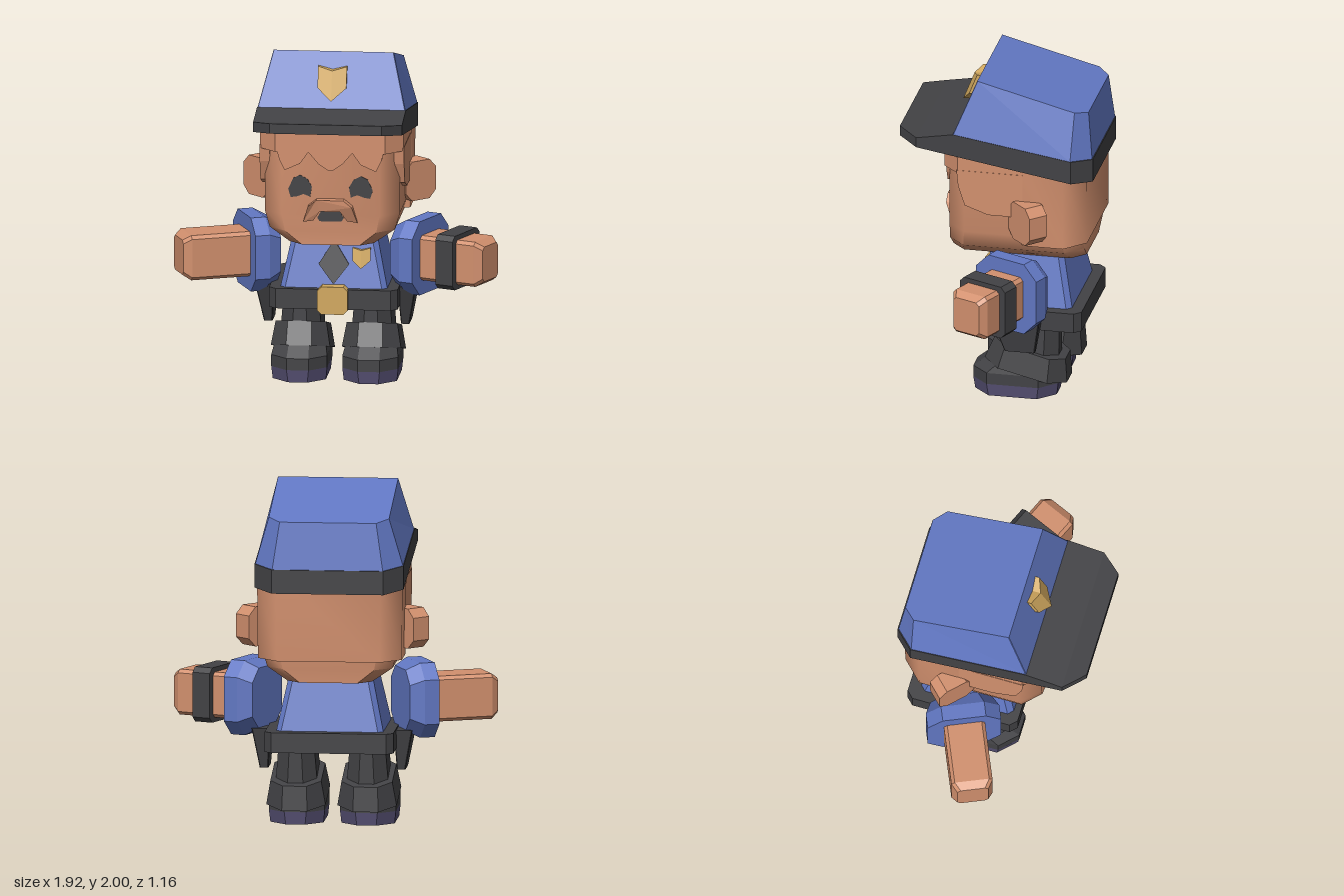
import * as THREE from 'three';
import { mergeGeometries, toCreasedNormals } from 'three/addons/utils/BufferGeometryUtils.js';

const mat = (name, color) => {
  const m = new THREE.MeshStandardMaterial({ color });
  m.name = name;
  return m;
};

// Octagonal ring around the y axis; y is a number or a function of z
function oct(y, hw, z0, z1, cBack, cFront = cBack, cx = 0) {
  const h = typeof y === 'function' ? y : () => y;
  return [
    [hw, z0 + cBack], [hw, z1 - cFront], [hw - cFront, z1], [cFront - hw, z1],
    [-hw, z1 - cFront], [-hw, z0 + cBack], [cBack - hw, z0], [hw - cBack, z0],
  ].map(([x, z]) => [x + cx, h(z), z]);
}

// Closed, faceted skin over rings with equal point counts
function loft(rings) {
  const n = rings[0].length, tris = [];
  for (let r = 0; r < rings.length - 1; r++) {
    const a = rings[r], b = rings[r + 1];
    for (let i = 0; i < n; i++) {
      const j = (i + 1) % n;
      tris.push([a[i], b[j], a[j]], [a[i], b[i], b[j]]);
    }
  }
  const first = rings[0], last = rings[rings.length - 1];
  for (let i = 1; i < n - 1; i++) {
    tris.push([first[0], first[i], first[i + 1]], [last[0], last[i + 1], last[i]]);
  }
  // turn all corners outward
  let volume = 0;
  for (const t of tris) {
    const [a, b, c] = t.map((p) => new THREE.Vector3(...p));
    volume += a.dot(b.cross(c));
  }
  if (volume < 0) tris.forEach((t) => t.reverse());
  const geo = new THREE.BufferGeometry();
  geo.setAttribute('position', new THREE.Float32BufferAttribute(tris.flat(2), 3));
  geo.computeVertexNormals();
  return geo;
}

// Flat outline extruded from z0 by depth
function plate(points, depth, z0 = 0) {
  const shape = new THREE.Shape(points.map((p) => new THREE.Vector2(...p)));
  return new THREE.ExtrudeGeometry(shape, { depth, bevelEnabled: false }).translate(0, 0, z0);
}

// Move z of every vertex by a rule
function moveZ(geo, rule) {
  const p = geo.attributes.position;
  for (let i = 0; i < p.count; i++) p.setZ(i, rule(p.getX(i), p.getY(i), p.getZ(i)));
  geo.computeVertexNormals();
  return geo;
}

const mirrorPoints = (pts) => [...pts, ...pts.map(([x, y]) => [-x, y]).reverse()];
const cutCorners = (w, h, c) => mirrorPoints([[w - c, h], [w, h - c], [w, c - h], [w - c, -h]]);

// Shield with a ridge down the middle
function shield(s) {
  const half = (k) => plate([[0, 0.075], [0.085 * k, 0.095], [0.085 * k, -0.025], [0, -0.095]], 0.05);
  const geo = mergeGeometries([half(1), half(-1)]).scale(s, s, s);
  return moveZ(geo, (x, y, z) => z * (1 - 0.5 * Math.abs(x) / (0.085 * s)));
}

export function createModel() {
  const model = new THREE.Group();
  const blue = mat('uniformBlue', 0x6278c4);
  const skin = mat('skin', 0xd2906e);
  const dark = mat('charcoal', 0x424245);
  const gold = mat('gold', 0xd2a95f);
  const purple = mat('solePurple', 0x565073);

  const add = (name, geo, material, parent = model) => {
    const mesh = new THREE.Mesh(geo, material);
    mesh.name = name;
    parent.add(mesh);
    return mesh;
  };

  // Cap: slanted crown, band with brim, badge
  add('capCrown', loft([
    oct((z) => 1.64 + 0.16 * z, 0.437, -0.575, 0.24, 0.11, 0.003),
    oct((z) => 1.971 + 0.26 * z, 0.355, -0.545, 0.11, 0.07, 0.003),
  ]), blue);
  const bandTop = (z) => 1.642 + 0.16 * z;
  add('capBandAndBrim', loft([
    [-0.58, 0.33, bandTop(-0.58)], [-0.47, 0.44, bandTop(-0.47)], [0.24, 0.44, bandTop(0.24)],
    [0.46, 0.44, 1.642], [0.58, 0.33, 1.662],
  ].map(([z, w, top]) => {
    const low = 1.505 + 0.167 * z;
    return [[-w, low, z], [w, low, z], [w, top, z], [-w, top, z]];
  })), dark);
  add('capBadge', moveZ(shield(1).translate(0, 1.825, 0),
    (x, y, z) => z + 0.238 - (y - 1.68) * 0.4), gold);

  // Head and hair
  add('head', toCreasedNormals(loft([
    oct(0.87, 0.25, -0.51, 0.29, 0.08),
    oct(0.95, 0.37, -0.515, 0.29, 0.1),
    oct(1.05, 0.4, -0.52, 0.29, 0.11),
    oct(1.55, 0.4, -0.52, 0.29, 0.11),
  ]), 0.9), skin);
  add('hairTop', loft([oct(1.43, 0.425, -0.53, 0.312, 0.1), oct(1.56, 0.425, -0.53, 0.312, 0.1)]), skin);
  add('hairBack', toCreasedNormals(loft([
    oct(1.0, 0.425, -0.54, -0.17, 0.12, 0.01),
    oct(1.5, 0.43, -0.54, -0.17, 0.12, 0.01),
  ]), 0.9), skin);
  add('fringe', plate(mirrorPoints([
    [0.32, 1.45], [0.3, 1.38], [0.27, 1.32], [0.18, 1.36], [0.13, 1.43], [0.07, 1.36], [0.01, 1.32],
  ]), 0.02, 0.285), skin);
  const sideLock = [[0.22, 1.45], [0.21, 1.35], [0.17, 1.23], [0.03, 1.18], [-0.2, 1.18], [-0.2, 1.45]];
  for (const z0 of [-0.427, 0.367]) {
    add('sideHair', plate(sideLock, 0.06, z0).rotateY(-Math.PI / 2), skin);
  }

  // Ears, swept back
  for (const s of [1, -1]) {
    const ear = add('ear', plate(cutCorners(0.115, 0.118, 0.05), 0.12, -0.12), skin);
    ear.position.set(s * 0.488, 1.167, -0.17);
    ear.rotation.y = s * 0.78;
  }

  // Face
  const eye = [[0.25, 1.205], [0.22, 1.27], [0.18, 1.29], [0.135, 1.265], [0.11, 1.22],
    [0.12, 1.16], [0.16, 1.175], [0.2, 1.16], [0.235, 1.155]];
  for (const s of [1, -1]) {
    add('eye', plate(eye.map(([x, y]) => [s * x, y]), 0.006, 0.288), dark);
  }
  add('mouth', plate(mirrorPoints([[0.05, 1.085], [0.078, 1.035], [0.065, 1.013]]), 0.006, 0.288), dark);
  add('moustache', moveZ(plate(mirrorPoints([
    [0.08, 1.15], [0.13, 1.11], [0.16, 1.01], [0.1, 1.02], [0.06, 1.08],
  ]), 1), (x, y, z) => 0.285 + z * (0.02 + Math.min(0.04, (y - 1.01) * 0.4))), skin);

  // Torso, tie, badge, belt
  const chestZ = (y) => 0.12 - 0.21 * (y - 0.57);
  add('torso', loft([
    oct(0.55, 0.32, -0.45, chestZ(0.55), 0.03),
    oct(0.9, 0.245, -0.38, chestZ(0.9), 0.03),
  ]), blue);
  add('tie', moveZ(plate(mirrorPoints([[0.045, 0.88], [0.02, 0.82], [0.09, 0.71], [0.005, 0.6]]), 0.009),
    (x, y, z) => z + chestZ(y)), dark);
  add('chestBadge', moveZ(shield(0.62).translate(0.163, 0.75, 0), (x, y, z) => z + chestZ(y)), gold);
  add('belt', loft([oct(0.45, 0.38, -0.515, 0.16, 0.04), oct(0.57, 0.38, -0.515, 0.16, 0.04)]), dark);
  add('buckle', plate(cutCorners(0.09, 0.083, 0.025), 0.125, 0.062).translate(0, 0.508, 0), gold);

  // Arms point outward along local x and swing forward
  const alongX = (rings) => loft(rings).rotateZ(-Math.PI / 2);
  for (const s of [1, -1]) {
    const arm = new THREE.Group();
    arm.name = s > 0 ? 'leftArm' : 'rightArm';
    arm.position.set(s * 0.55, 0.735, -0.105);
    arm.rotation.y = s > 0 ? -0.41 : Math.PI + 0.41;
    model.add(arm);
    add('sleeve', alongX([
      oct(-0.17, 0.18, -0.18, 0.18, 0.08),
      oct(-0.09, 0.222, -0.218, 0.218, 0.09),
      oct(0, 0.222, -0.218, 0.218, 0.09),
    ]), blue, arm);
    add('forearm', alongX([
      oct(-0.02, 0.135, -0.122, 0.122, 0.02),
      oct(0.36, 0.135, -0.122, 0.122, 0.02),
      oct(0.405, 0.105, -0.092, 0.092, 0.02),
    ]), skin, arm);
    if (s > 0) {
      add('wristband', alongX([
        oct(0.125, 0.163, -0.163, 0.163, 0.03),
        oct(0.24, 0.163, -0.163, 0.163, 0.03),
      ]), dark, arm);
    }
  }

  // Legs, cuffs, boots and hip pouches
  for (const s of [1, -1]) {
    const leg = new THREE.Group();
    leg.name = s > 0 ? 'leftLeg' : 'rightLeg';
    leg.position.x = s * 0.21;
    model.add(leg);
    add('trouserLeg', loft([
      oct(0.15, 0.13, -0.36, 0.02, 0.08), oct(0.47, 0.105, -0.36, 0.01, 0.07),
    ]), dark, leg);
    add('trouserCuff', loft([
      oct((z) => 0.19 + 0.242 * z, 0.175, -0.415, 0.08, 0.1),
      oct((z) => 0.34 + 0.256 * z, 0.15, -0.405, 0.02, 0.08),
    ]), dark, leg);
    add('boot', loft([
      oct(0.075, 0.165, -0.36, 0.15, 0.1), oct(0.145, 0.165, -0.36, 0.15, 0.1),
      oct(0.21, 0.15, -0.34, 0.07, 0.09),
    ]), dark, leg);
    add('sole', loft([
      oct(0, 0.157, -0.35, 0.14, 0.1), oct(0.075, 0.165, -0.36, 0.15, 0.1),
    ]), purple, leg);
    add('hipPouch', loft([
      oct(0.32, 0.025, -0.25, -0.07, 0.005, 0.005, s * 0.405),
      oct(0.56, 0.055, -0.29, 0.01, 0.005, 0.005, s * 0.42),
    ]), dark);
  }
  return model;
}
